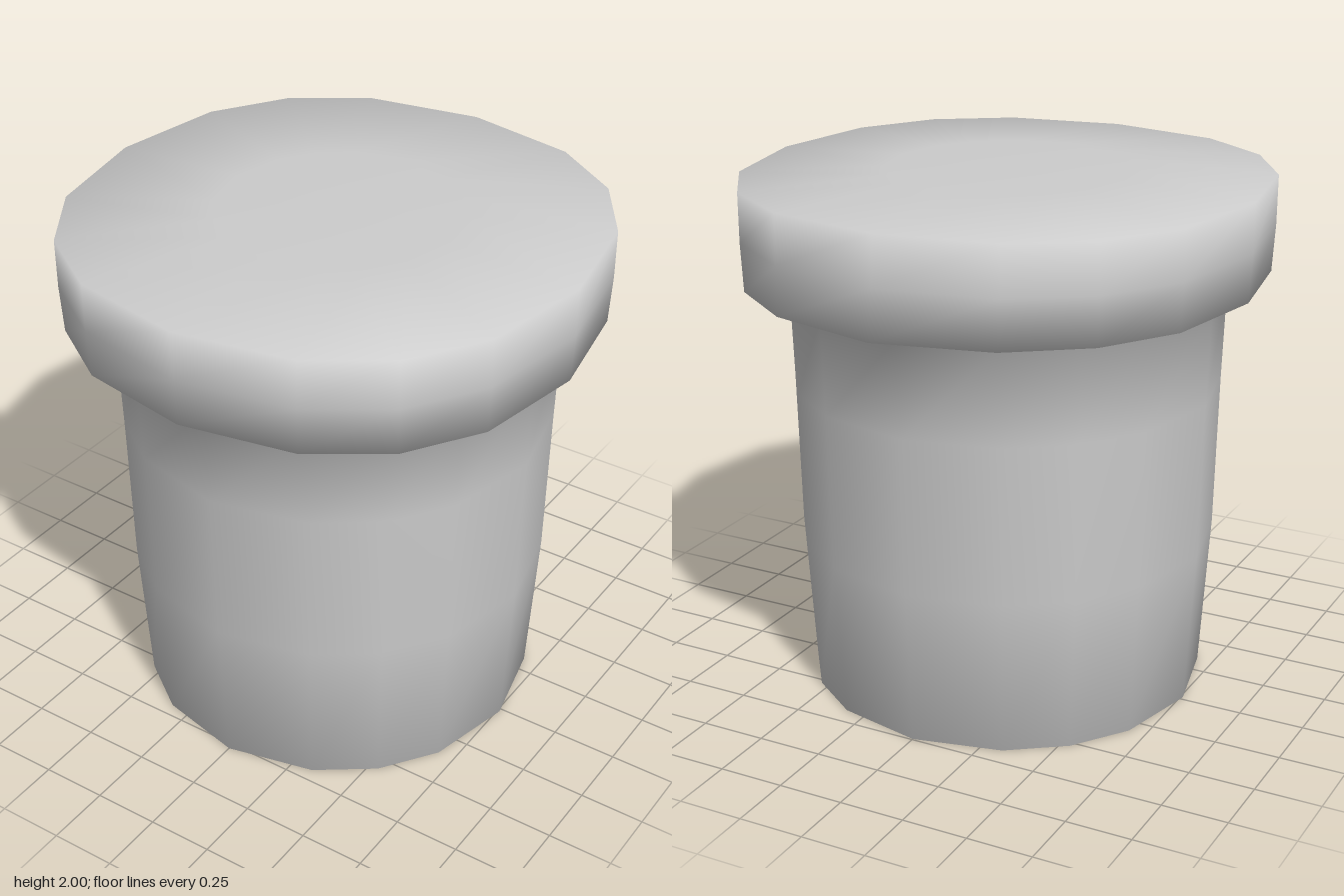
import * as THREE from 'three';

// Sixteen unevenly spaced corners: four quadrants of the same spacing
const QUADRANT = [0, 26, 45, 64];
const SIDES = 16;

// Profile from the underside to the top: [radius, height, backward flare]
const PROFILE = [
  [0, 0, 0], [0.55, 0, 0],
  [0.76, 0, 0], [0.797, 0.6, 0], [0.81, 1.2, 0], [0.822, 1.57, 0],
  [0.957, 1.61, 0.05], [0.967, 1.79, 0.01], [0.968, 1.975, 0],
  [0.45, 2, 0], [0, 2, 0],
];
const SHOULDER = 5; // ring where the stem meets the cap

function ringPoint([r, y, flare], i) {
  const q = Math.floor(i / 4);
  const a = THREE.MathUtils.degToRad(q * 90 + QUADRANT[i % 4]);
  const s = Math.sin(a), c = Math.cos(a);
  // the rim is a little fuller on its diagonals, towards the front and at the lower back
  const full = y > 1.6 && r > 0.9 ? 1 + 0.035 * Math.sin(2 * a) ** 2 + 0.01 * Math.max(0, c) : 1;
  const back = flare * Math.max(0, -c) ** 6;
  return [s * r * full, y, 0.015 + c * (r * full + back)];
}

// Quads between neighbouring rings, counter-clockwise from outside
function band(from, to) {
  const index = [];
  for (let k = from; k < to; k++) {
    for (let i = 0; i < SIDES; i++) {
      const j = (i + 1) % SIDES;
      const a = k * SIDES + i, b = k * SIDES + j;
      const c = a + SIDES, d = b + SIDES;
      if (PROFILE[k][0] > 0) index.push(a, b, d);
      if (PROFILE[k + 1][0] > 0) index.push(a, d, c);
    }
  }
  return index;
}

export function createModel() {
  const positions = [];
  for (const ring of PROFILE) {
    for (let i = 0; i < SIDES; i++) positions.push(...ringPoint(ring, i));
  }

  // Shared smooth normals over the whole skin
  const skin = new THREE.BufferGeometry();
  skin.setAttribute('position', new THREE.Float32BufferAttribute(positions, 3));
  skin.setIndex(band(0, PROFILE.length - 1));
  skin.computeVertexNormals();

  const material = new THREE.MeshStandardMaterial({ color: 0xcccccc });
  const group = new THREE.Group();
  group.name = 'stopper';

  const addPart = (name, from, to) => {
    const geometry = new THREE.BufferGeometry();
    geometry.setAttribute('position', skin.getAttribute('position').clone());
    geometry.setAttribute('normal', skin.getAttribute('normal').clone());
    geometry.setIndex(band(from, to));
    const mesh = new THREE.Mesh(geometry, material);
    mesh.name = name;
    group.add(mesh);
  };

  addPart('stem', 0, SHOULDER);
  addPart('cap', SHOULDER, PROFILE.length - 1);
  return group;
}
